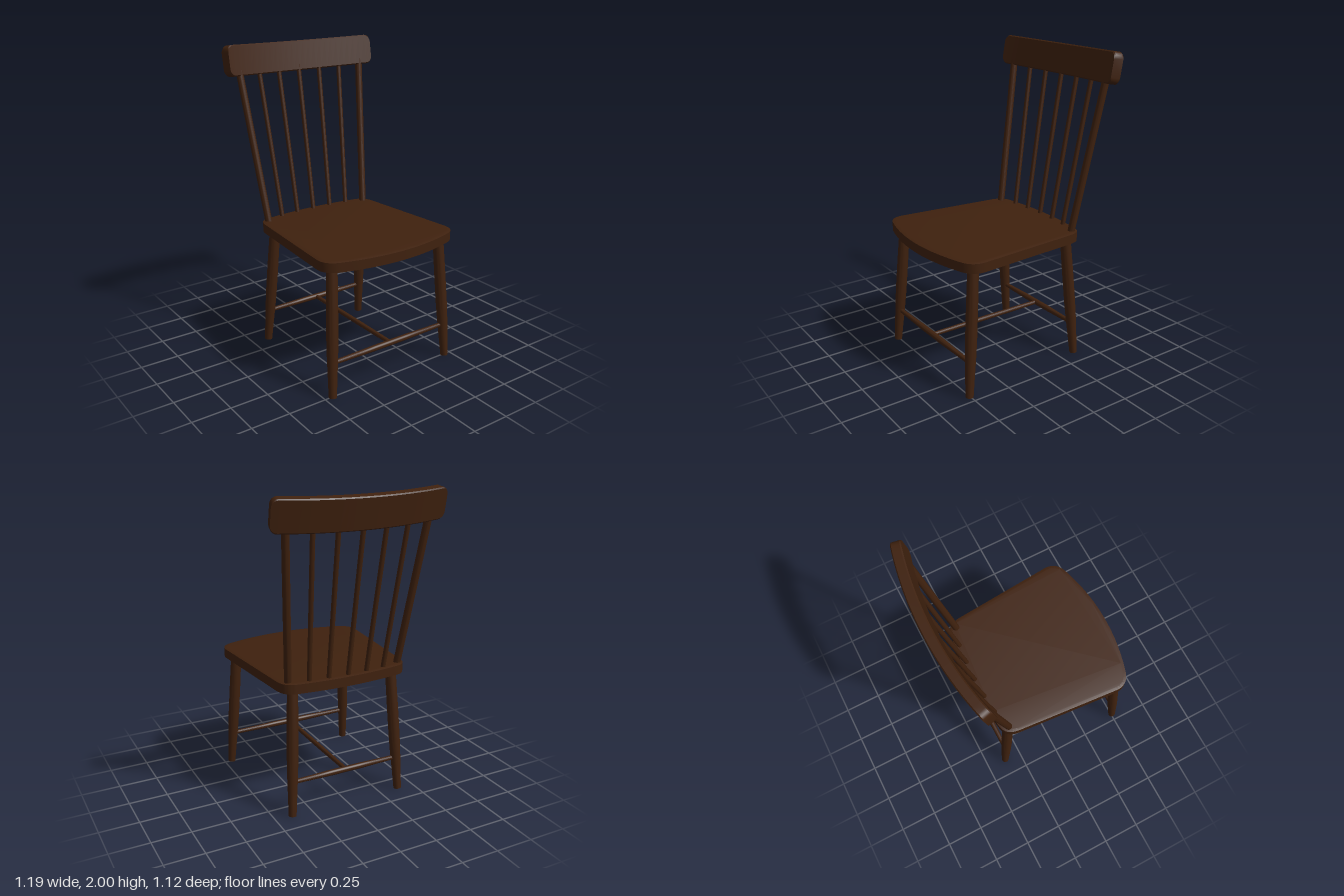
import * as THREE from 'three';
import { toCreasedNormals } from 'three/addons/utils/BufferGeometryUtils.js';

const V = (x, y, z) => new THREE.Vector3(x, y, z);

export function createModel() {
  const chair = new THREE.Group();
  chair.name = 'chair';
  const wood = new THREE.MeshStandardMaterial({ color: 0x3f210e });
  wood.name = 'dark brown wood';

  function add(name, geometry) {
    const mesh = new THREE.Mesh(geometry, wood);
    mesh.name = name;
    chair.add(mesh);
    return mesh;
  }

  // Turned rod from a to b; profile lists [radius, fraction along the rod]
  function rod(name, a, b, profile) {
    const length = a.distanceTo(b);
    const points = profile.map(([r, t]) => new THREE.Vector2(r, t * length));
    points.unshift(new THREE.Vector2(0, 0));
    points.push(new THREE.Vector2(0, length));
    const mesh = add(name, toCreasedNormals(new THREE.LatheGeometry(points, 20), 0.6));
    mesh.position.copy(a);
    mesh.quaternion.setFromUnitVectors(V(0, 1, 0), b.clone().sub(a).normalize());
  }

  // Seat: wide bowed front, narrower bowed back, eased edges
  const outline = new THREE.Shape();
  outline.moveTo(-0.37, -0.35);
  outline.quadraticCurveTo(-0.36, -0.425, -0.27, -0.435);
  outline.lineTo(0.41, -0.493);
  outline.quadraticCurveTo(0.5, -0.5, 0.53, -0.41);
  outline.quadraticCurveTo(0.66, 0, 0.53, 0.41);
  outline.quadraticCurveTo(0.5, 0.5, 0.41, 0.493);
  outline.lineTo(-0.27, 0.435);
  outline.quadraticCurveTo(-0.36, 0.425, -0.37, 0.35);
  outline.quadraticCurveTo(-0.425, 0, -0.37, -0.35);
  const seat = new THREE.ExtrudeGeometry(outline, {
    depth: 0.06, curveSegments: 14, bevelEnabled: true,
    bevelThickness: 0.005, bevelSize: 0.018, bevelOffset: -0.018, bevelSegments: 1,
  });
  seat.rotateX(Math.PI / 2);
  seat.translate(0, 0.87, 0);
  add('seat', toCreasedNormals(seat, 0.3));

  // Splayed legs, slightly swollen in the middle
  const legProfile = [[0.025, 0], [0.029, 0.15], [0.034, 0.32], [0.036, 0.45], [0.036, 0.7], [0.034, 1]];
  // Stretchers between each pair of legs, thicker in the centre
  const crossProfile = [[0.014, 0], [0.016, 0.2], [0.019, 0.36], [0.019, 0.64], [0.016, 0.8], [0.014, 1]];
  const ends = [
    ['back', -0.365, 0.385, -0.3, 0.345, -0.345, 0.375],
    ['front', 0.507, 0.45, 0.445, 0.41, 0.49, 0.44],
  ];
  for (const [end, x0, z0, x1, z1, sx, sz] of ends) {
    for (const s of [1, -1]) rod(end + 'Leg', V(x0, 0, s * z0), V(x1, 0.82, s * z1), legProfile);
    rod(end + 'Stretcher', V(sx, 0.22, -sz), V(sx, 0.22, sz), crossProfile);
  }
  rod('middleStretcher', V(-0.345, 0.22, 0), V(0.49, 0.22, 0), [[0.014, 0], [0.016, 0.5], [0.014, 1]]);

  // Back spindles fanning up into the crest: [z low, z high, x low, x high, radius]
  const spindles = [
    [0, 0, -0.363, -0.527, 0.015],
    [0.13, 0.157, -0.358, -0.522, 0.015],
    [0.256, 0.31, -0.347, -0.508, 0.015],
    [0.38, 0.463, -0.312, -0.484, 0.023],
  ];
  for (const [z0, z1, x0, x1, r] of spindles) {
    for (const s of z0 ? [1, -1] : [1]) {
      rod(r > 0.02 ? 'backPost' : 'backSpindle', V(x0, 0.85, s * z0), V(x1, 1.84, s * z1), [[r, 0], [r, 1]]);
    }
  }

  // Crest rail: bevelled section swept on an arc, with rounded end corners
  const radius = 2.16, sweep = 0.258, half = 0.097, thick = 0.031, corner = 0.04, ease = 0.007;
  const stations = [];
  for (let i = 0; i <= 6; i++) {
    const t = (i / 6) * (Math.PI / 2);
    stations.push([-sweep + (corner / radius) * (1 - Math.cos(t)), half - corner * (1 - Math.sin(t))]);
  }
  const inner = sweep - corner / radius;
  for (let i = 1; i < 24; i++) stations.push([-inner + (2 * inner * i) / 24, half]);
  for (let i = 6; i >= 0; i--) stations.push([-stations[i][0], stations[i][1]]);

  const positions = [], index = [], n = 8;
  for (const [angle, h] of stations) {
    const t = thick, e = ease;
    const ring = [[t, h - e], [t - e, h], [e - t, h], [-t, h - e], [-t, e - h], [e - t, -h], [t - e, -h], [t, e - h]];
    for (const [d, y] of ring) {
      const r = radius - d;
      positions.push(radius - r * Math.cos(angle), y, r * Math.sin(angle));
    }
  }
  const last = (stations.length - 1) * n;
  for (let i = 0; i < last; i += n) {
    for (let j = 0; j < n; j++) {
      const k = (j + 1) % n;
      index.push(i + j, i + k, i + n + j, i + k, i + n + k, i + n + j);
    }
  }
  for (let j = 1; j < n - 1; j++) index.push(0, j + 1, j, last, last + j, last + j + 1);
  const crest = new THREE.BufferGeometry();
  crest.setAttribute('position', new THREE.Float32BufferAttribute(positions, 3));
  crest.setIndex(index);
  const rail = add('crestRail', toCreasedNormals(crest, 0.5));
  rail.position.set(-0.552, 1.887, 0);
  rail.rotation.z = 0.174;

  return chair;
}
